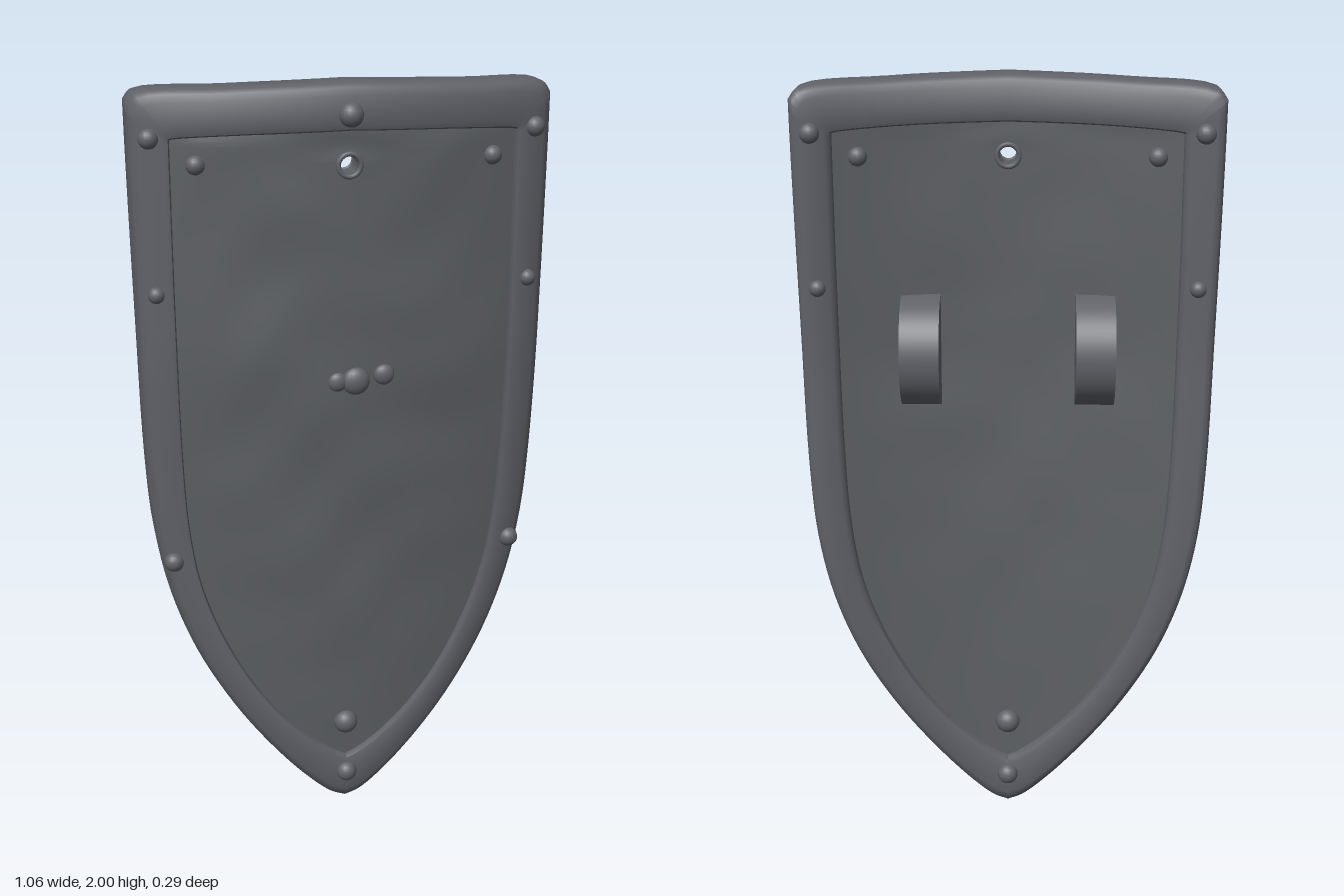
import * as THREE from 'three';
import { toCreasedNormals } from 'three/addons/utils/BufferGeometryUtils.js';

const HOLE_Y = 1.8, HOLE_R = 0.025;
const RIM_T = 0.068, PANEL_T = 0.046; // half thicknesses

// Middle surface of the curved shield
const bend = (x, y) => 0.05 - 0.34 * x * x - 0.06 * Math.max(0, (1.3 - y) / 1.3);

// Right half of the outline, from the tip up: outer x, outer y, inner x, inner y
const SIDE = [
  [0, 0, 0, 0.14], [0.04, 0.016, 0.03, 0.155], [0.11, 0.075, 0.08, 0.19],
  [0.21, 0.185, 0.165, 0.27], [0.31, 0.32, 0.25, 0.38], [0.4, 0.48, 0.33, 0.53],
  [0.463, 0.65, 0.383, 0.68], [0.498, 0.82, 0.41, 0.84], [0.514, 1.02, 0.422, 1.03],
  [0.523, 1.4, 0.429, 1.4], [0.529, 1.8, 0.43, 1.8], [0.53, 1.95, 0.43, 1.865],
];
const TOP = [[0.53, 1.95, 0.43, 1.865], [0.508, 1.975, 0.425, 1.867], [0.3, 1.989, 0.28, 1.877], [0, 2, 0, 1.885]];

function sample(rows, k, n) {
  const curve = new THREE.CatmullRomCurve3(rows.map(r => new THREE.Vector3(r[k], r[k + 1], 0)));
  return curve.getPoints(n);
}

// Closed counterclockwise loop made from the half outline
function loop(k) {
  const half = [...sample(SIDE, k, 55), ...sample(TOP, k, 15).slice(1)];
  const other = half.slice(1, -1).reverse().map(p => new THREE.Vector3(-p.x, p.y, 0));
  return [...half, ...other];
}

// Sweep a closed section of (u from outer to inner, offset in z) around two paired loops
function sweep(outer, inner, section, dent = () => 0) {
  const pos = [], index = [], n = outer.length, m = section.length;
  for (let i = 0; i < n; i++) {
    for (const [u, w] of section) {
      const p = outer[i].clone().lerp(inner[i], u);
      pos.push(p.x, p.y, bend(p.x, p.y) + w + dent(p.x, p.y, u) * (w > 0 ? 1 : 0.4));
    }
  }
  for (let i = 0; i < n; i++) {
    for (let j = 0; j < m; j++) {
      const i2 = (i + 1) % n, j2 = (j + 1) % m;
      const a = i * m + j, b = i2 * m + j, c = i2 * m + j2, d = i * m + j2;
      index.push(a, b, c, a, c, d);
    }
  }
  const g = new THREE.BufferGeometry();
  g.setAttribute('position', new THREE.Float32BufferAttribute(pos, 3));
  g.setIndex(index);
  return toCreasedNormals(g, 0.7);
}

// Front half of a section, mirrored to the back
const closed = front => [...front, ...front.slice().reverse().map(([u, w]) => [u, -w])];

export function createModel() {
  const group = new THREE.Group();
  const steel = new THREE.MeshStandardMaterial({ color: 0x606268 });
  steel.name = 'dark steel';
  const plate = new THREE.MeshStandardMaterial({ color: 0x5c5f63 });
  plate.name = 'worn plate';

  const add = (name, geometry, material, x = 0, y = 0, z = 0) => {
    const mesh = new THREE.Mesh(geometry, material);
    mesh.name = name;
    mesh.position.set(x, y, z);
    group.add(mesh);
    return mesh;
  };

  const outer = loop(0), inner = loop(2);

  // Rounded rim
  const rimSection = closed([[0, 0.035], [0.03, 0.048], [0.1, 0.059], [0.25, RIM_T],
    [0.85, RIM_T], [0.96, 0.064], [1, 0.053]]);
  add('rim', sweep(outer, inner, rimSection), steel);

  // Curved panel with a round hole and shallow hammered wrinkles
  const hole = inner.map(p => {
    const a = Math.atan2(p.y - HOLE_Y, p.x);
    return new THREE.Vector3(HOLE_R * Math.cos(a), HOLE_Y + HOLE_R * Math.sin(a), 0);
  });
  const rings = 40;
  const panelSection = closed(Array.from({ length: rings + 1 }, (_, i) => [i / rings, PANEL_T]));
  const wrinkles = (x, y, u) => 0.003 * Math.sin(Math.PI * u) *
    (Math.sin(13 * y + 5 * x + 2 * Math.sin(6 * x)) + 0.6 * Math.sin(23 * y - 11 * x + 1.5 * Math.sin(9 * x + 4 * y)));
  add('panel', sweep(inner, hole, panelSection, wrinkles), plate);

  // Eyelets around the hole
  for (const s of [1, -1]) {
    add('eyelet', new THREE.TorusGeometry(0.028, 0.006, 8, 24), steel, 0, HOLE_Y, bend(0, HOLE_Y) + s * PANEL_T);
  }

  // Rivets: x, y, radius, half thickness below, on the back too
  const rivet = (x, y, r, t, side, flat = 0.9) => {
    add('rivet', new THREE.SphereGeometry(r, 16, 12), steel, x, y, bend(x, y) + side * t).scale.z = flat;
  };
  const pairs = [[0.48, 1.87, 0.025, RIM_T, true], [0.475, 1.485, 0.021, RIM_T, true],
    [0.455, 0.755, 0.026, RIM_T, false], [0.37, 1.805, 0.024, PANEL_T, true]];
  const singles = [[0, 1.925, 0.03, RIM_T, false], [0, 0.095, 0.028, RIM_T, true], [0, 0.245, 0.033, PANEL_T, true]];
  const all = [...singles, ...pairs, ...pairs.map(([x, ...rest]) => [-x, ...rest])];
  for (const [x, y, r, t, back] of all) {
    rivet(x, y, r, t, 1);
    if (back) rivet(x, y, r, t, -1);
  }

  // Flattened studs in the middle of the front
  for (const [x, y, r] of [[-0.03, 1.25, 0.025], [0.017, 1.25, 0.036], [0.09, 1.263, 0.027]]) {
    rivet(x, y, r, PANEL_T, 1, 0.6);
  }

  // Half-disc grips on the back
  const grip = new THREE.CylinderGeometry(0.145, 0.145, 0.1, 32, 1, false, Math.PI / 2, Math.PI);
  grip.rotateZ(Math.PI / 2);
  for (const s of [1, -1]) add(s > 0 ? 'leftGrip' : 'rightGrip', grip, steel, s * 0.222, 1.305, -0.002);

  return group;
}
